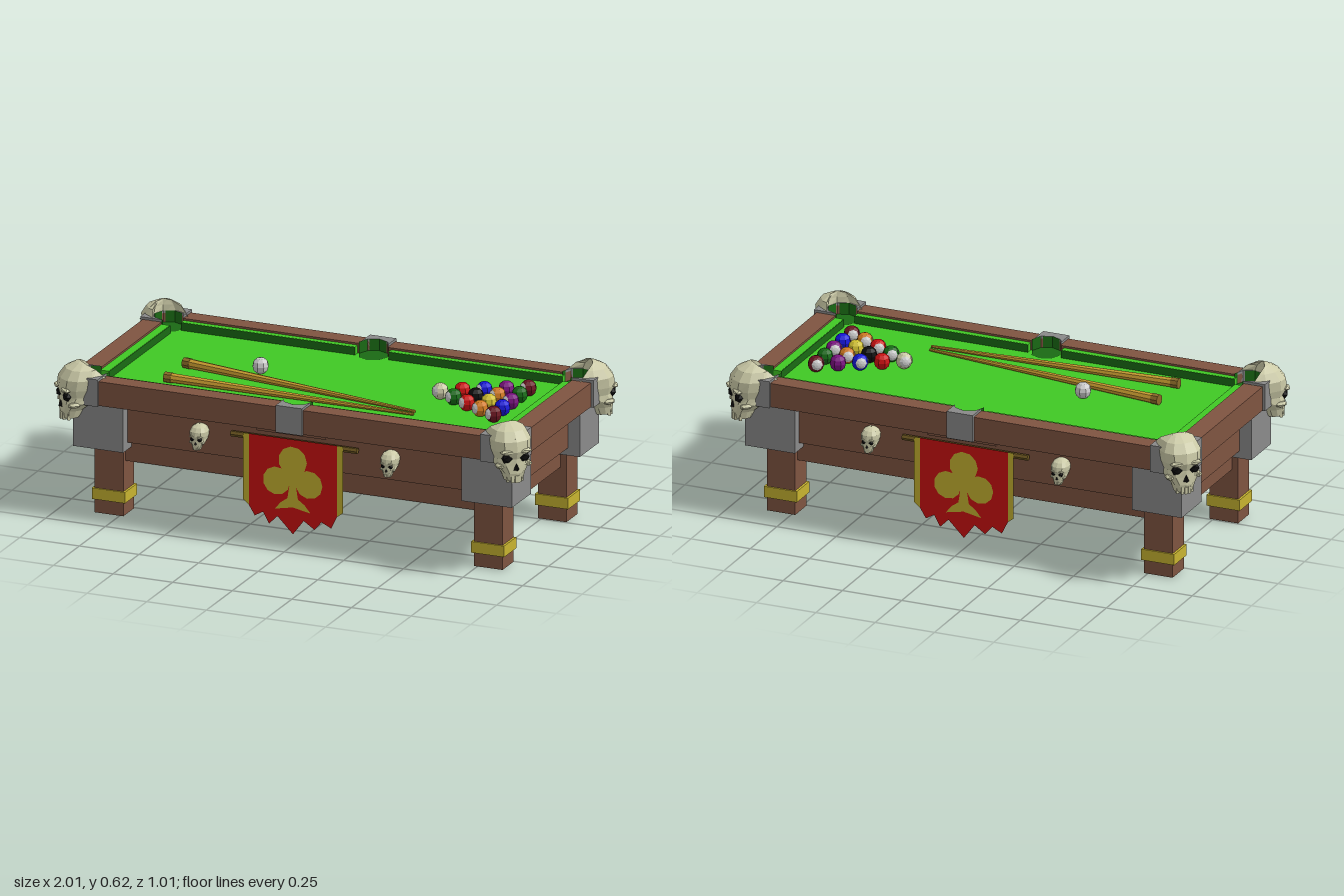
import * as THREE from 'three';

const mats = {};
const mat = (color) => (mats[color] ??= new THREE.MeshStandardMaterial({ color, flatShading: true, side: THREE.DoubleSide }));
const WOOD = 0x7f5441, METAL = 0x8a8a8a, GOLD = 0xc8b430, BONE = 0xcccba8, BLACK = 0x0c0c0c;
const FELT = 0x40c824, DARK = 0x1a6a14, RED = 0xcc1111, WHITE = 0xd8d8d8;

function add(parent, name, geo, color, x = 0, y = 0, z = 0) {
  const m = new THREE.Mesh(geo, mat(color));
  m.name = name;
  m.position.set(x, y, z);
  parent.add(m);
  return m;
}
// Box given by its bottom height and top height
const box = (p, name, color, w, d, y0, y1, x = 0, z = 0) =>
  add(p, name, new THREE.BoxGeometry(w, y1 - y0, d), color, x, (y0 + y1) / 2, z);
const shapeOf = (pts) => new THREE.Shape(pts.map(([x, y]) => new THREE.Vector2(x, y)));
// Plan outline (x, z) extruded downwards from a top height
function slab(p, name, shape, color, top, depth) {
  const geo = new THREE.ExtrudeGeometry(shape, { depth, bevelEnabled: false });
  return add(p, name, geo.rotateX(Math.PI / 2), color, 0, top, 0);
}

// Skull of height 1 facing +z; a notched one is hollowed at the back for a corner pocket
function makeSkull(notched) {
  const g = new THREE.Group();
  g.name = 'skull';
  // height, half width, back, front
  const sections = [
    [0, 0.17, 0.1, 0.4], [0.14, 0.21, 0.02, 0.43], [0.28, 0.31, -0.15, 0.42], [0.4, 0.32, -0.42, 0.42],
    [0.54, 0.36, -0.5, 0.47], [0.72, 0.38, -0.5, 0.44], [0.88, 0.3, -0.4, 0.32], [0.97, 0.15, -0.2, 0.14], [1, 0.01, -0.01, 0.01],
  ];
  const N = 12, pos = [], idx = [];
  const pow = (v) => Math.sign(v) * Math.abs(v) ** 0.8;
  sections.forEach(([y, w, b, f], s) => {
    for (let i = 0; i < N; i++) {
      const a = (i / N) * Math.PI * 2;
      const x = w * pow(Math.cos(a));
      let z = (b + f) / 2 + ((f - b) / 2) * pow(Math.sin(a));
      if (notched && Math.abs(x) < 0.27) z = Math.max(z, -0.225 + Math.sqrt(0.08 - x * x));
      pos.push(x, y, z);
      if (s === 0) continue;
      const q = s * N + i, q1 = s * N + ((i + 1) % N);
      idx.push(q - N, q, q1 - N, q, q1, q1 - N);
    }
  });
  for (let i = 1; i < N - 1; i++) idx.push(0, i, i + 1);
  const geo = new THREE.BufferGeometry();
  geo.setAttribute('position', new THREE.Float32BufferAttribute(pos, 3));
  geo.setIndex(idx);
  geo.computeVertexNormals();
  add(g, 'cranium', geo, BONE);
  for (const s of [-1, 1]) {
    add(g, 'eyeSocket', new THREE.IcosahedronGeometry(0.1, 0), BLACK, s * 0.16, 0.42, 0.37).scale.set(1.05, 0.95, 0.8);
    add(g, 'brow', new THREE.IcosahedronGeometry(0.1, 0), BONE, s * 0.16, 0.54, 0.4).scale.set(1.5, 0.5, 0.8);
    add(g, 'cheekbone', new THREE.IcosahedronGeometry(0.1, 0), BONE, s * 0.26, 0.27, 0.27).scale.set(0.8, 0.6, 1.3);
  }
  add(g, 'noseHole', new THREE.ConeGeometry(0.06, 0.15, 4), BLACK, 0, 0.28, 0.41);
  for (let i = -2; i <= 2; i++)
    box(g, 'tooth', BONE, 0.055, 0.05, -0.03, 0.1, i * 0.065, 0.41 - 0.02 * i * i);
  return g;
}

// Banner with emblem, hanging rod and two small skulls for one long side
function makeLongSide() {
  const g = new THREE.Group();
  g.name = 'longSide';
  const rod = add(g, 'bannerRod', new THREE.CylinderGeometry(0.012, 0.012, 0.53, 6), 0x6b5520, 0, 0.415, 0.4);
  rod.rotation.z = Math.PI / 2;
  const cloth = [[-0.185, 0.43], [-0.185, 0.14], [-0.16, 0.1], [-0.125, 0.12], [-0.1, 0.075], [-0.065, 0.11], [0, 0.045],
    [0.045, 0.105], [0.09, 0.075], [0.12, 0.11], [0.16, 0.09], [0.185, 0.14], [0.185, 0.43]];
  add(g, 'bannerCloth', new THREE.ShapeGeometry(shapeOf(cloth)), RED, 0, 0, 0.415);
  for (const s of [-1, 1]) {
    const strip = [[s * 0.185, 0.43], [s * 0.21, 0.43], [s * 0.21, 0.16], [s * 0.185, 0.14]];
    add(g, 'bannerTrim', new THREE.ShapeGeometry(shapeOf(strip)), GOLD, 0, 0, 0.415);
    const skull = makeSkull(false);
    skull.position.set(s * 0.4, 0.34, 0.395);
    skull.scale.setScalar(0.095);
    g.add(skull);
  }
  // Clover emblem
  for (const [x, y, r] of [[0, 0.342, 0.06], [-0.068, 0.255, 0.057], [0.068, 0.255, 0.057]])
    add(g, 'emblemLobe', new THREE.CircleGeometry(r, 11), GOLD, x, y, 0.418);
  const stem = [[-0.075, 0.14], [-0.05, 0.17], [-0.022, 0.19], [-0.014, 0.24], [-0.03, 0.3], [0.03, 0.3],
    [0.014, 0.24], [0.022, 0.19], [0.05, 0.17], [0.075, 0.14], [0, 0.155]];
  add(g, 'emblemStem', new THREE.ShapeGeometry(shapeOf(stem)), GOLD, 0, 0, 0.418);
  box(g, 'bannerBoard', WOOD, 0.29, 0.06, 0.455, 0.468, 0, 0.405);
  return g;
}

function makeBall(p, x, z, color, spot) {
  const g = new THREE.Group();
  g.name = 'ball';
  g.position.set(x, 0.557, z);
  add(g, 'ballBody', new THREE.SphereGeometry(0.033, 8, 6), color);
  if (spot) {
    for (const s of [-1, 1]) {
      const cap = add(g, 'ballSpot', new THREE.SphereGeometry(0.034, 8, 2, 0, Math.PI * 2, 0, 0.7), WHITE);
      cap.rotation.set(s * 1.4, 0, 0.6);
    }
  }
  p.add(g);
}

function makeCue(p, x0, z0, x1, z1) {
  const g = new THREE.Group();
  g.name = 'cue';
  const L = Math.hypot(x1 - x0, z1 - z0);
  add(g, 'cueShaft', new THREE.CylinderGeometry(0.006, 0.02, L, 8), 0xc89b30, 0, L / 2, 0);
  add(g, 'cueButt', new THREE.CylinderGeometry(0.0215, 0.0215, 0.03, 8), 0x8a6a28, 0, 0.012, 0);
  g.position.set(x0, 0.546, z0);
  const dir = new THREE.Vector3(x1 - x0, -0.013, z1 - z0).normalize();
  g.quaternion.setFromUnitVectors(new THREE.Vector3(0, 1, 0), dir);
  p.add(g);
}

export function createModel() {
  const model = new THREE.Group();
  model.name = 'poolTable';

  // Body and playing surface
  box(model, 'lowerBody', WOOD, 1.66, 0.68, 0.22, 0.31);
  box(model, 'upperBody', WOOD, 1.74, 0.76, 0.31, 0.47);
  box(model, 'felt', FELT, 1.84, 0.85, 0.469, 0.525);

  // Rail frame, with the opening notched for six pockets
  const Q = [[0, 0.42], [0.042, 0.402], [0.059, 0.37], [0.802, 0.37], [0.813, 0.397],
    [0.855, 0.415], [0.897, 0.397], [0.915, 0.355], [0.897, 0.313], [0.86, 0.297]];
  const flip = (pts, sx, sz) => pts.map(([x, z]) => [x * sx, z * sz]);
  const inner = [...Q, ...flip(Q, 1, -1).reverse(), ...flip(Q.slice(1), -1, -1), ...flip(Q.slice(1), -1, 1).reverse()];
  const frame = shapeOf([[-0.94, -0.445], [0.94, -0.445], [0.94, 0.445], [-0.94, 0.445]]);
  frame.holes.push(shapeOf(inner));
  slab(model, 'rails', frame, WOOD, 0.565, 0.098);

  const pocket = (x, z, angle, segs) => {
    const len = segs * Math.PI / 4;
    add(model, 'pocketWall', new THREE.CylinderGeometry(0.0595, 0.0595, 0.05, segs, 1, true, angle - len / 2, len), DARK, x, 0.55, z);
    add(model, 'pocketFloor', new THREE.CircleGeometry(0.06, 8).rotateX(-Math.PI / 2), DARK, x, 0.528, z);
  };

  for (const sz of [-1, 1]) {
    // Middle pockets, their metal caps and the side decoration
    pocket(0, sz * 0.36, sz > 0 ? 0 : Math.PI, 4);
    const cap = [[-0.055, 0.378], [-0.042, 0.402], [0, 0.42], [0.042, 0.402], [0.055, 0.378], [0.055, 0.455], [-0.055, 0.455]];
    slab(model, 'middleCap', shapeOf(flip(cap, 1, sz)), METAL, 0.575, 0.11);
    const side = makeLongSide();
    side.rotation.y = sz > 0 ? 0 : Math.PI;
    model.add(side);
    // End cushions
    box(model, 'endCushion', FELT, 0.035, 0.59, 0.52, 0.557, sz * 0.8425, 0);
    box(model, 'endCushionFace', DARK, 0.003, 0.59, 0.52, 0.556, sz * 0.8245, 0);

    for (const sx of [-1, 1]) {
      // Long cushions
      box(model, 'cushion', FELT, 0.73, 0.026, 0.52, 0.557, sx * 0.435, sz * 0.358);
      box(model, 'cushionFace', DARK, 0.73, 0.003, 0.52, 0.556, sx * 0.435, sz * 0.3445);
      // Corner: leg, band, block, cap, pocket and skull
      box(model, 'leg', WOOD, 0.12, 0.105, 0, 0.4, sx * 0.795, sz * 0.308);
      box(model, 'legBand', GOLD, 0.139, 0.117, 0.055, 0.1, sx * 0.795, sz * 0.308);
      box(model, 'cornerBlock', METAL, 0.21, 0.185, 0.28, 0.465, sx * 0.815, sz * 0.3275);
      const corner = [...Q.slice(3), [0.95, 0.297], [0.95, 0.455], [0.802, 0.455]];
      slab(model, 'cornerCap', shapeOf(flip(corner, sx, sz)), METAL, 0.575, 0.11);
      const angle = Math.atan2(sx, sz);
      pocket(sx * 0.855, sz * 0.355, angle, 6);
      const skull = makeSkull(true);
      skull.scale.setScalar(0.22);
      skull.position.set(sx * 0.89, 0.405, sz * 0.39);
      skull.rotation.y = angle;
      model.add(skull);
    }
  }

  // Cues and balls
  makeCue(model, -0.61, 0.055, 0.417, 0.197);
  makeCue(model, -0.61, 0.24, 0.425, 0.23);
  makeBall(model, -0.316, 0, WHITE, false);
  const maroon = 0x6a1420, green = 0x146a14, blue = 0x1414d8, purple = 0x7a1080, orange = 0xd07a20, yellow = 0xd0c030;
  const rack = [[BONE], [RED, green], [blue, BLACK, RED], [purple, orange, yellow, orange], [maroon, green, purple, blue, maroon]];
  rack.forEach((row, i) => row.forEach((color, j) =>
    makeBall(model, 0.438 + i * 0.074, (j - i / 2) * 0.084, color, color !== BLACK && (i + j) % 2 === 0)));
  return model;
}
